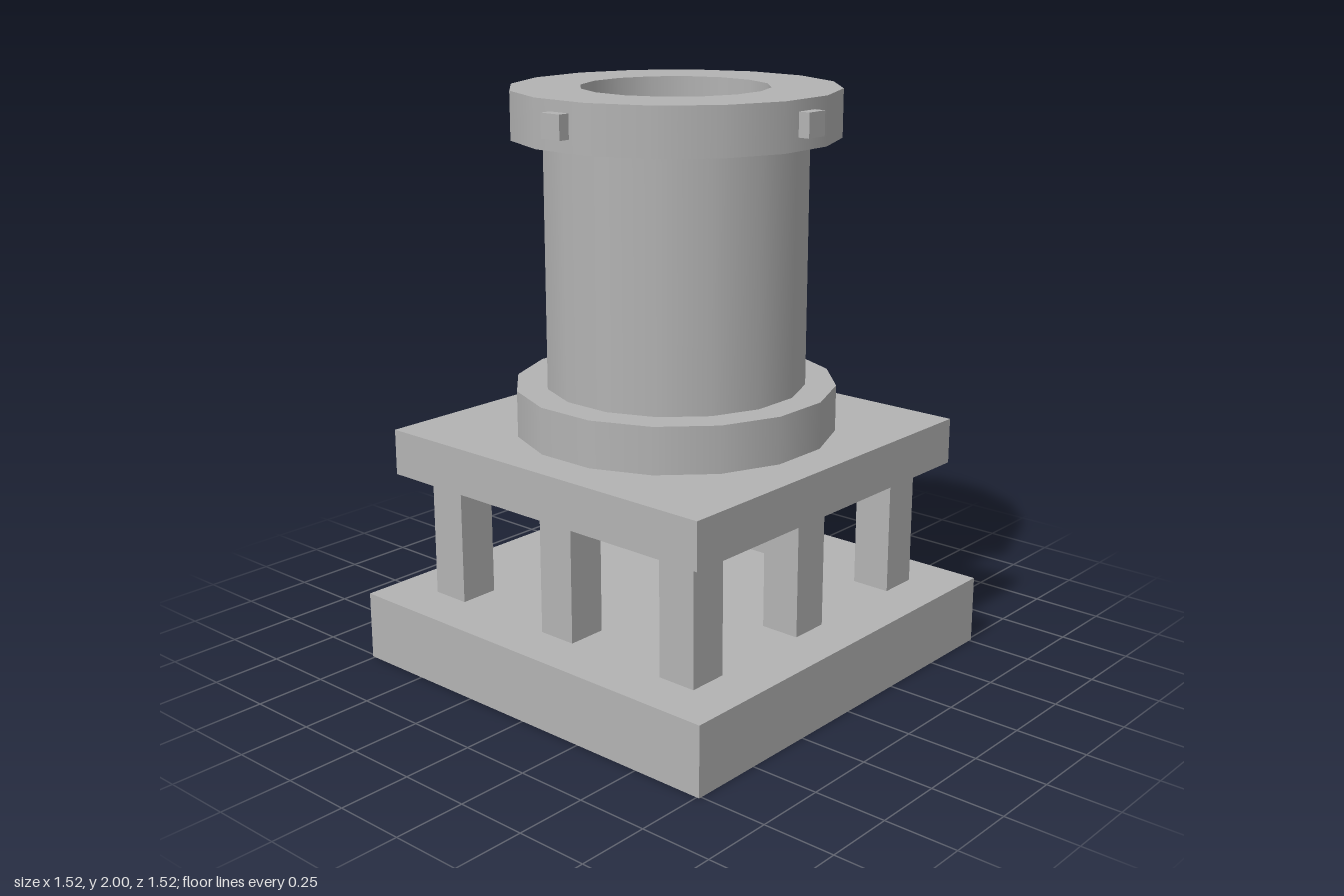
import * as THREE from 'three';
import { mergeGeometries } from 'three/addons/utils/BufferGeometryUtils.js';

const SIDES = 16;
const PHASE = Math.PI / SIDES; // flats face the x and z axes

export function createModel() {
  const model = new THREE.Group();
  model.name = 'pedestalTower';
  const stone = new THREE.MeshStandardMaterial({ color: 0xb3b3b3 });
  stone.name = 'grey stone';

  const add = (name, geometry, x = 0, y = 0, z = 0) => {
    const mesh = new THREE.Mesh(geometry, stone);
    mesh.name = name;
    mesh.position.set(x, y, z);
    model.add(mesh);
    return mesh;
  };
  const drum = (radius, height) =>
    new THREE.CylinderGeometry(radius, radius, height, SIDES, 1, false, PHASE);

  // Ring turned from four strips, so its rims stay sharp
  const ring = (inner, outer, height) => {
    const h = height / 2;
    const profile = [[inner, -h], [outer, -h], [outer, h], [inner, h], [inner, -h]]
      .map(([x, y]) => new THREE.Vector2(x, y));
    return mergeGeometries([0, 1, 2, 3].map(i =>
      new THREE.LatheGeometry(profile.slice(i, i + 2), SIDES, PHASE)));
  };

  // Square base and raised platform
  add('base', new THREE.BoxGeometry(1.52, 0.24, 1.52), 0, 0.12, 0);
  add('platform', new THREE.BoxGeometry(1.36, 0.16, 1.36), 0, 0.76, 0);

  // Eight square legs around the edge
  const legShape = new THREE.BoxGeometry(0.14, 0.44, 0.14);
  for (const x of [-1, 0, 1]) {
    for (const z of [-1, 0, 1]) {
      if (x || z) add('leg', legShape, x * 0.523, 0.46, z * 0.523);
    }
  }

  // Tower drum between two collars; the top collar is open
  add('lowerCollar', drum(0.55, 0.16), 0, 0.92, 0);
  add('towerBody', drum(0.445, 0.84), 0, 1.42, 0);
  add('upperCollar', ring(0.316, 0.55, 0.16), 0, 1.92, 0);

  // Four small lugs on the upper collar
  const lugShape = new THREE.BoxGeometry(0.08, 0.08, 0.08);
  for (let i = 0; i < 4; i++) {
    const a = i * Math.PI / 2;
    add('lug', lugShape, Math.sin(a) * 0.54, 1.923, Math.cos(a) * 0.54).rotation.y = a;
  }
  return model;
}
